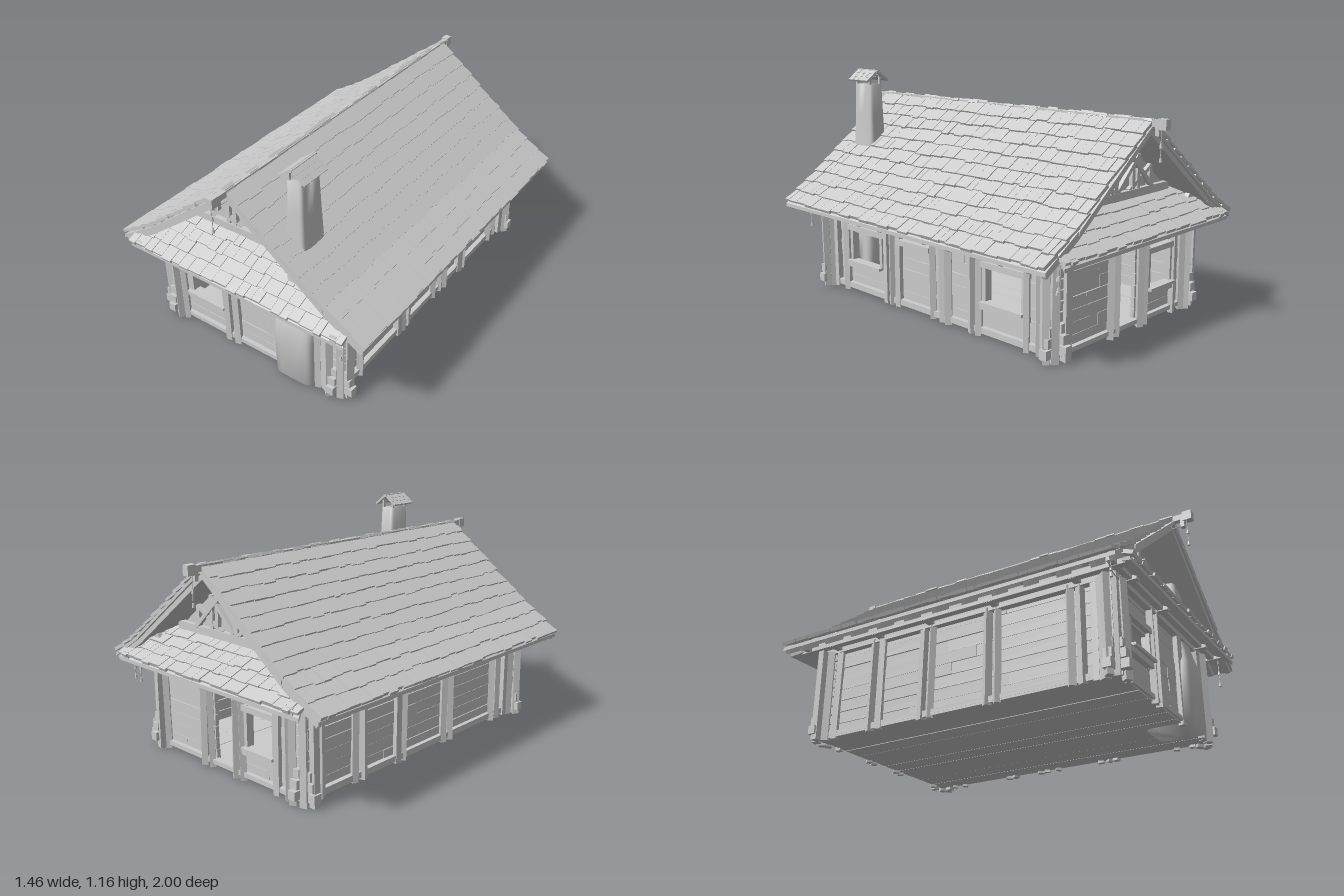
import * as THREE from 'three';
import { mergeGeometries } from 'three/addons/utils/BufferGeometryUtils.js';
import { ConvexGeometry } from 'three/addons/geometries/ConvexGeometry.js';

const V = (x, y, z) => new THREE.Vector3(x, y, z);
const flat = new THREE.MeshStandardMaterial({ color: 0xcccccc, flatShading: true });
const smooth = new THREE.MeshStandardMaterial({ color: 0xcccccc });

let seed = 7;
const rnd = (a = 0, b = 1) => {
  seed = (seed * 16807) % 2147483647;
  return a + (b - a) * seed / 2147483647;
};

// Merge a list of geometries into one named mesh
function part(parent, name, list, material = flat) {
  const clean = list.map(g => {
    const n = g.index ? g.toNonIndexed() : g;
    n.deleteAttribute('uv');
    return n;
  });
  const mesh = new THREE.Mesh(mergeGeometries(clean), material);
  mesh.name = name;
  parent.add(mesh);
  return mesh;
}

const box = (w, h, d, x, y, z) => new THREE.BoxGeometry(w, h, d).translate(x, y, z);

// Square timber between two points
function bar(p, q, w, h = w) {
  const m = new THREE.Matrix4().lookAt(p, q, V(0, 1, 0)).setPosition(p.clone().add(q).multiplyScalar(0.5));
  return new THREE.BoxGeometry(w, h, p.distanceTo(q)).applyMatrix4(m);
}

// Upright post, slightly crooked
const post = (x, z, y0, y1, w = 0.03) =>
  bar(V(x + rnd(-.004, .004), y0, z + rnd(-.004, .004)), V(x, y1, z), w * rnd(.85, 1.15), w);

// Roof slope from eave to top (x across, z outward), with deck and rows of shingles
function slope(list, eave, top, halfEave, halfTop, rows) {
  const corners = [];
  for (const s of [-1, 1]) for (const t of [-.006, -.024]) {
    corners.push(V(s * halfEave, eave.y + t, eave.z), V(s * halfTop, top.y + t, top.z));
  }
  list.push(new ConvexGeometry(corners));
  const run = top.clone().sub(eave), step = run.length() / rows;
  const tilt = Math.atan2(run.y, -run.z);
  for (let r = 0; r < rows; r++) {
    const f = r / rows, half = halfEave + (halfTop - halfEave) * f;
    for (let x = -half; x < half - .01;) {
      const w = Math.min(rnd(.035, .085), half - x), len = step * rnd(1.15, 1.3);
      const g = new THREE.BoxGeometry(w - .002, rnd(.011, .019), len);
      g.translate(0, .008, -len / 2 + rnd(0, .014)).rotateX(tilt - .1);
      const p = eave.clone().addScaledVector(run, f);
      list.push(g.translate(x + w / 2, p.y + .006, p.z));
      x += w;
    }
  }
}

// Plank wall in the local xy plane with rectangular openings [x0, x1, y0, y1]
function plankWall(x0, x1, openings) {
  const list = [], h = .0583;
  for (let r = 0; r < 8; r++) {
    const y = .03 + h * (r + .5);
    const cuts = openings.filter(o => y > o[2] && y < o[3]).sort((a, b) => a[0] - b[0]);
    let a = x0;
    for (const end of [...cuts, [x1, x1]]) {
      const mid = a + (end[0] - a) * rnd(.3, .7);
      for (const [p, q] of [[a, mid], [mid, end[0]]])
        list.push(box(q - p, h - .002, .02, (p + q) / 2, y, rnd(-.003, .003)));
      a = end[1];
    }
  }
  return list;
}

// Window frame with projecting rails and sill
function windowFrame([a, b, y0, y1]) {
  const c = (a + b) / 2, w = b - a;
  return [
    ...[y0, y1].map(y => box(w + .06, .028, .035, c, y, .02)),
    ...[a, b].map(x => box(.02, y1 - y0 + .03, .04, x, (y0 + y1) / 2, .01)),
    box(w + .02, .014, .055, c, y0 + .02, .025),
  ];
}

// Closed smooth loft through rounded rectangles [y, cx, cz, halfX, halfZ]
function loft(sections, n = 32) {
  const pos = [], idx = [], pw = t => Math.sign(t) * Math.pow(Math.abs(t), .35);
  for (const [y, cx, cz, hx, hz] of sections) for (let i = 0; i < n; i++) {
    const a = i / n * Math.PI * 2;
    pos.push(cx + hx * pw(Math.cos(a)), y, cz + hz * pw(Math.sin(a)));
  }
  for (let s = 0; s < sections.length - 1; s++) for (let i = 0; i < n; i++) {
    const a = s * n + i, b = s * n + (i + 1) % n;
    idx.push(a, a + n, b, b, a + n, b + n);
  }
  const last = (sections.length - 1) * n;
  for (let i = 1; i < n - 1; i++) idx.push(0, i, i + 1, last, last + i + 1, last + i);
  const g = new THREE.BufferGeometry();
  g.setAttribute('position', new THREE.Float32BufferAttribute(pos, 3));
  g.setIndex(idx);
  g.computeVertexNormals();
  return g;
}

export function createModel() {
  seed = 7;
  const model = new THREE.Group();
  model.name = 'cabin';
  const house = new THREE.Group();
  house.name = 'house';
  house.position.z = -.01;
  model.add(house);

  // Floor with plank joints
  const floor = [];
  for (let i = 0; i < 10; i++) floor.push(box(.104, .022, 1.61, -.47 + i * .1045, .028 + rnd(-.002, .002), 0));
  part(house, 'floor', floor);

  // Four walls: each faces local +z and is turned into place
  const walls = [
    { name: 'front', turn: 0, out: .785, half: .49, posts: [-.43, -.145, -.09, .18, .40, .44],
      windows: [[-.375, -.165, .18, .35]], doors: [] },
    { name: 'back', turn: Math.PI, out: .785, half: .49, posts: [-.44, -.14, -.10, .085, .125, .36, .43],
      windows: [[.155, .34, .15, .36]], doors: [[-.08, .065, .02, .42]] },
    { name: 'left', turn: Math.PI / 2, out: .49, half: .785,
      posts: [-.73, -.64, -.31, -.27, -.22, .03, .10, .14, .30, .35, .64, .71],
      windows: [[-.60, -.36, .15, .35], [.38, .62, .15, .35]], doors: [] },
    { name: 'right', turn: -Math.PI / 2, out: .49, half: .785,
      posts: [-.70, -.48, -.43, -.18, -.13, .18, .23, .60, .65, .72], windows: [], doors: [] },
  ];
  for (const w of walls) {
    const side = new THREE.Group();
    side.name = w.name + 'Wall';
    side.rotation.y = w.turn;
    house.add(side);
    part(side, 'planks', plankWall(-w.half, w.half, [...w.windows, ...w.doors])).position.z = w.out;
    part(side, 'posts', w.posts.map(x => post(x, w.out + .026, .005, .475)));
    part(side, 'rails', [
      box(w.half * 2, .022, .035, 0, .035, w.out + .015),
      box(w.half * 2 + .08, .035, .035, 0, .475, w.out + .025),
      box(w.half * 2, .03, .035, 0, .475, w.out - .04),
      ...w.posts.filter((x, i) => i % 2 === 0).map(x => box(.032, .035, .12, x, .485, w.out + .04)),
    ]);
    if (w.windows.length) part(side, 'windowFrames', w.windows.flatMap(windowFrame)).position.z = w.out;
    for (const d of w.doors)
      part(side, 'doorFrame', [box(d[1] - d[0] + .06, .03, .04, (d[0] + d[1]) / 2, d[3], w.out + .015)]);
  }
  // Raised rail on the centre bay of the window side
  part(house, 'bayRail', [box(.035, .028, .25, .52, .345, .10)]);

  // Corner posts, stacked log ends and stepped feet
  const corners = [];
  for (const sx of [-1, 1]) for (const sz of [-1, 1]) {
    for (const [x, z] of [[.525, .81], [.525, .755], [.47, .825], [.555, .785]])
      corners.push(post(sx * x, sz * z, .002, .47, .034));
    for (let i = 0; i < 9; i++) {
      const y = .05 + i * .048, reach = i < 3 ? .04 - i * .013 : 0;
      corners.push(box(.09 + reach, .042, .04, sx * (.50 + reach / 2), y, sz * .79));
      corners.push(box(.04, .042, .09 + reach, sx * .495, y + .012, sz * (.775 + reach / 2)));
    }
  }
  part(house, 'cornerLogs', corners);

  // Main roof: steep upper slope and a gentler kick at the eaves
  for (const [name, turn] of [['left', Math.PI / 2], ['right', -Math.PI / 2]]) {
    const list = [];
    slope(list, V(0, .47, .71), V(0, .6, .505), .91, .91, 3);
    slope(list, V(0, .6, .505), V(0, .99, 0), .915, .915, 8);
    part(house, name + 'RoofSlope', list).rotation.y = turn;
  }

  // Skirt roofs and timbered gables at both ends
  for (const [name, turn] of [['front', 0], ['back', Math.PI]]) {
    const end = new THREE.Group();
    end.name = name + 'Gable';
    end.rotation.y = turn;
    house.add(end);
    const skirt = [];
    slope(skirt, V(0, .475, .94), V(0, .6, .70), .63, .47, 4);
    part(end, 'skirtRoof', skirt);
    const tri = new THREE.Shape([[-.49, .57], [.49, .57], [0, .965]].map(p => new THREE.Vector2(...p)));
    part(end, 'gablePanel', [new THREE.ExtrudeGeometry(tri, { depth: .02, bevelEnabled: false }).translate(0, 0, .68)]);
    const z = .71, t = [
      bar(V(0, .58, z), V(0, .97, z), .03),
      bar(V(-.43, .625, z), V(.43, .625, z), .03, .04),
      bar(V(-.64, .487, .85), V(.64, .487, .85), .03, .032),
    ];
    for (const s of [-1, 1]) {
      t.push(bar(V(s * .14, .62, z), V(s * .14, .84, z), .022), bar(V(s * .18, .62, z), V(s * .18, .81, z), .022));
      t.push(bar(V(s * .29, .64, z + .008), V(s * .06, .86, z + .008), .02));
      t.push(bar(V(s * .02, .65, z + .006), V(s * .17, .80, z + .006), .02));
      t.push(bar(V(s * .30, .75, z), V(s * .11, .64, z), .02), bar(V(s * .28, .62, z), V(s * .28, .735, z), .022));
      // Barge rafters under the roof edge
      t.push(bar(V(0, .955, .89), V(s * .505, .565, .89), .025, .03), bar(V(s * .505, .565, .89), V(s * .70, .445, .89), .025, .03));
    }
    part(end, 'gableTimbers', t);
  }

  // Eave beams and rafter tails
  const eaves = [];
  for (const s of [-1, 1]) {
    eaves.push(bar(V(s * .575, .485, -.94), V(s * .575, .485, .94), .035, .032));
    for (let i = 0; i < 11; i++)
      eaves.push(bar(V(s * .48, .575, -.8 + i * .16), V(s * .69, .442, -.8 + i * .16), .024, .026));
  }
  part(house, 'eaveTimbers', eaves);

  // Ridge beam with capped ends
  part(model, 'ridge', [
    box(.026, .03, 1.98, 0, .99, 0),
    ...[-1, 1].flatMap(s => [box(.036, .048, .045, 0, .988, s * .9775), box(.024, .06, .02, 0, .965, s * .95)]),
  ]);

  // Hearth and chimney shaft
  const hearth = [[.015, .278, .73, .112, .12], [.26, .278, .73, .112, .12], [.33, .28, .73, .108, .115],
    [.40, .285, .725, .08, .1], [.47, .288, .72, .064, .088], [.60, .285, .718, .057, .085],
    [.76, .282, .717, .052, .08], [.92, .281, .717, .047, .073], [1.08, .28, .717, .043, .067]];
  part(model, 'chimney', [loft(hearth)], smooth);
  part(model, 'chimneyRim', [box(.115, .02, .17, .285, .612, .72)]);

  // Chimney hood on four legs
  const hood = [];
  for (const s of [-1, 1]) {
    for (const z of [.665, .77]) hood.push(box(.012, .06, .012, .28 + s * .033, 1.1, z));
    for (let r = 0; r < 3; r++) for (let i = 0; i < 4; i++)
      hood.push(new THREE.BoxGeometry(.034, .011, .039).rotateZ(-s * .6)
        .translate(.28 + s * (.012 + r * .022), 1.143 - r * .017, .656 + i * .041));
  }
  hood.push(box(.016, .014, .17, .28, 1.149, .717));
  part(model, 'chimneyHood', hood);

  // Sagging ropes and hanging charms under the eaves
  const ropes = [], charms = [];
  const rope = (a, b, sag) => ropes.push(new THREE.TubeGeometry(
    new THREE.QuadraticBezierCurve3(a, a.clone().add(b).multiplyScalar(.5).add(V(0, -sag, 0)), b), 14, .003, 5));
  rope(V(.58, .465, .45), V(.58, .465, .2), .12);
  rope(V(.58, .465, -.2), V(.58, .465, -.5), .05);
  rope(V(.58, .465, -.55), V(.58, .465, -.82), .12);
  rope(V(-.65, .46, .84), V(-.53, .45, .84), .06);
  rope(V(0, .97, .97), V(0, .95, .88), .03);
  const charm = (x, y, z, len) => {
    charms.push(new THREE.CylinderGeometry(.002, .002, len, 5).translate(x, y - len / 2, z));
    for (const f of [.55, 1]) charms.push(new THREE.CylinderGeometry(.005, .008, .02, 6).translate(x, y - len * f, z));
  };
  charm(-.015, .97, .975, .14);
  charm(0, .97, -.965, .14);
  charm(.575, .47, -.87, .13);
  charm(.59, .47, -.89, .11);
  charm(.575, .47, .87, .14);
  charm(-.625, .47, .84, .06);
  part(model, 'ropes', ropes, smooth);
  part(model, 'hangingCharms', charms);
  return model;
}
